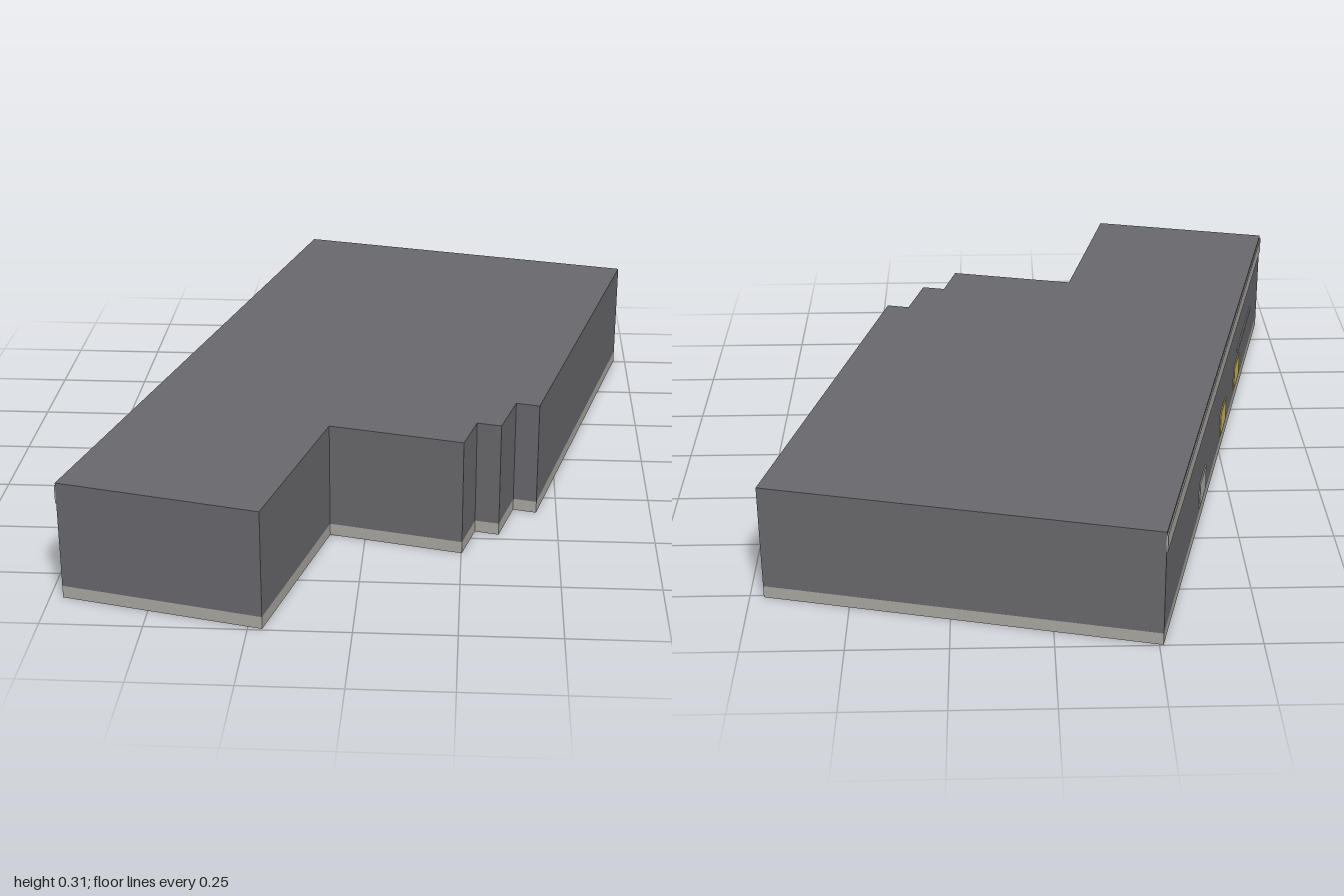
import * as THREE from 'three';

const mat = (name, color) => {
  const m = new THREE.MeshStandardMaterial({ color });
  m.name = name;
  return m;
};

// Building footprint as [x, z] corners
const FOOTPRINT = [
  [-0.26, -0.998], [0.715, -0.758], [0.446, 0.341], [0.385, 0.326], [0.346, 0.475],
  [0.284, 0.46], [0.252, 0.584], [-0.092, 0.5], [-0.215, 0.995], [-0.718, 0.87],
];

// Upright prism over the footprint, between two heights
function prism(name, bottom, top, material) {
  const shape = new THREE.Shape(FOOTPRINT.map(([x, z]) => new THREE.Vector2(x, -z)));
  const geo = new THREE.ExtrudeGeometry(shape, { depth: top - bottom, bevelEnabled: false });
  geo.rotateX(-Math.PI / 2);
  geo.translate(0, bottom, 0);
  const mesh = new THREE.Mesh(geo, material);
  mesh.name = name;
  return mesh;
}

export function createModel() {
  const grey = mat('dark grey cladding', 0x6a696d);
  const stone = mat('pale stone', 0xaba9a3);
  const glass = mat('light grey panel', 0xaeaeac);
  const yellow = mat('yellow panel', 0xd0ba64);

  const model = new THREE.Group();
  model.name = 'building';
  model.add(prism('plinth', 0, 0.032, stone));
  model.add(prism('walls', 0.032, 0.31, grey));

  // Details on the long straight facade: local x runs along the wall, z points outward
  const [ax, az] = FOOTPRINT[0];
  const [bx, bz] = FOOTPRINT[FOOTPRINT.length - 1];
  const length = Math.hypot(bx - ax, bz - az);
  const facade = new THREE.Group();
  facade.name = 'facadeDetails';
  facade.position.set(ax, 0, az);
  facade.rotation.y = Math.atan2(az - bz, bx - ax);
  model.add(facade);

  // Thin plate from fraction t0 to t1 along the facade
  const plate = (name, t0, t1, y0, y1, material) => {
    const mesh = new THREE.Mesh(new THREE.BoxGeometry((t1 - t0) * length, y1 - y0, 0.004), material);
    mesh.name = name;
    mesh.position.set((t0 + t1) / 2 * length, (y0 + y1) / 2, 0.001);
    facade.add(mesh);
  };
  plate('roofStripe', 0, 1, 0.256, 0.302, stone);
  plate('greyDoor', 0.304, 0.363, 0.05, 0.122, glass);
  plate('yellowDoor', 0.523, 0.582, 0.05, 0.122, yellow);
  plate('yellowDoor', 0.684, 0.743, 0.05, 0.122, yellow);
  plate('signStrip', 0.72, 0.886, 0.142, 0.156, glass);

  return model;
}
